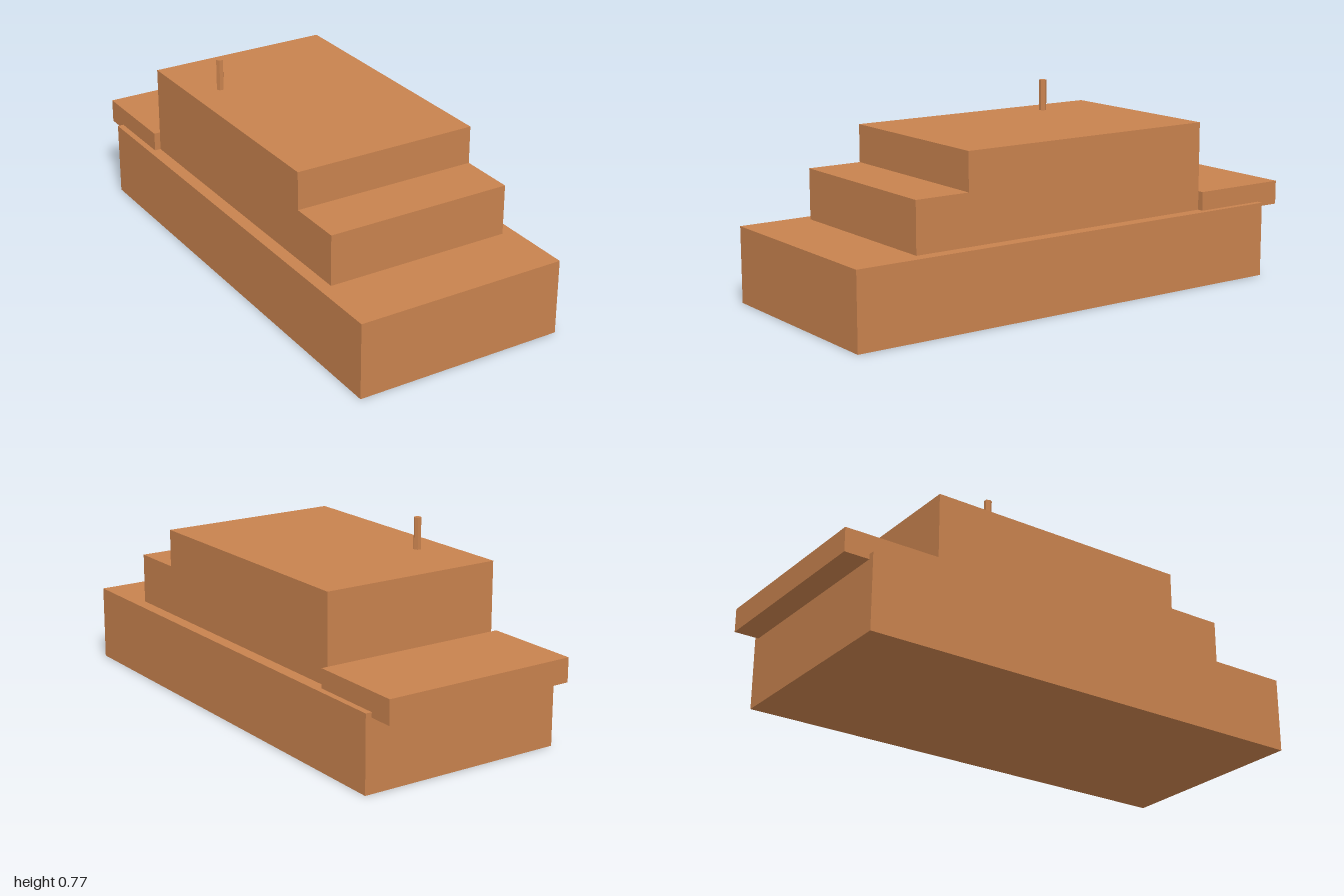
import * as THREE from 'three';

export function createModel() {
  const model = new THREE.Group();
  model.name = 'boat';
  const clay = new THREE.MeshStandardMaterial({ color: 0xc8824e });
  clay.name = 'clayBrown';

  const add = (name, geometry) => {
    const mesh = new THREE.Mesh(geometry, clay);
    mesh.name = name;
    model.add(mesh);
    return mesh;
  };

  // Box centred on x, given by its width and its y and z ranges
  const block = (name, width, y0, y1, z0, z1) =>
    add(name, new THREE.BoxGeometry(width, y1 - y0, z1 - z0))
      .position.set(0, (y0 + y1) / 2, (z0 + z1) / 2);

  block('hull', 0.85, 0, 0.3, -0.9, 1);
  block('rearPlatform', 0.8, 0.28, 0.375, -1, -0.6);

  // Stepped cabin: side profile extruded across the width
  const profile = new THREE.Shape([
    [-0.6, 0.3], [0.725, 0.3], [0.725, 0.5], [0.5, 0.5], [0.5, 0.65], [-0.6, 0.65],
  ].map(([z, y]) => new THREE.Vector2(-z, y)));
  const cabin = new THREE.ExtrudeGeometry(profile, { depth: 0.75, bevelEnabled: false });
  cabin.translate(0, 0, -0.375).rotateY(Math.PI / 2);
  add('cabin', cabin);

  // Six-sided mast with corners pointing sideways
  const mast = new THREE.CylinderGeometry(0.015, 0.015, 0.125, 6).toNonIndexed();
  mast.rotateY(Math.PI / 2);
  mast.computeVertexNormals();
  add('mast', mast).position.set(-0.25, 0.7125, -0.3);

  return model;
}
